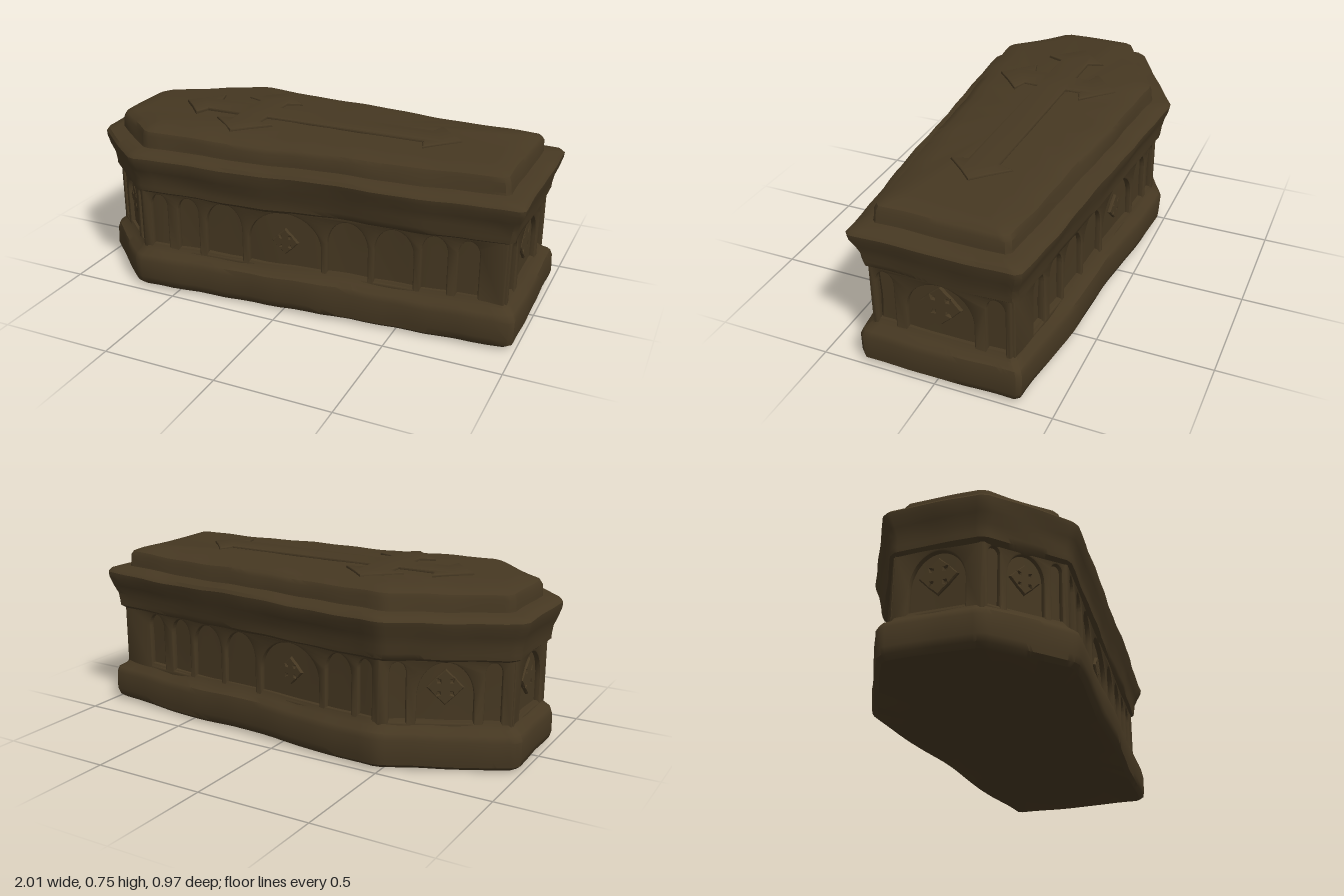
import * as THREE from 'three';
import { toCreasedNormals } from 'three/addons/utils/BufferGeometryUtils.js';

// Tapered six-sided plan [x, z], running clockwise seen from above
const PLAN = [[-1, -0.21], [-0.485, -0.49], [1, -0.37], [1, 0.345], [-0.69, 0.485], [-1, 0.21]];

// Plan moved inward by d with mitred corners
function inset(d) {
  const n = PLAN.length;
  const normal = (i) => {
    const a = PLAN[i], b = PLAN[(i + 1) % n];
    return new THREE.Vector2(b[1] - a[1], a[0] - b[0]).normalize();
  };
  return PLAN.map((p, i) => {
    const n0 = normal((i + n - 1) % n), n1 = normal(i);
    const k = d / (1 + n0.dot(n1));
    return new THREE.Vector2(p[0] - (n0.x + n1.x) * k, p[1] - (n0.y + n1.y) * k);
  });
}

// Stone weathering: a small smooth displacement
const worn = (a, b, c) => Math.sin(a * 9 + c * 2) * 0.5 + Math.sin(b * 13 + a * 5 + c * 17) * 0.3 + Math.sin(a * 27 - b * 8 + c) * 0.2;

// Loft of plan rings; profile entries are [inset, y]
function loft(profile) {
  const STEPS = 26, pos = [], idx = [];
  for (const [d, y] of profile) {
    const ring = inset(d);
    ring.forEach((a, e) => {
      const b = ring[(e + 1) % ring.length];
      const cut = 0.018 / a.distanceTo(b); // softened corners
      for (let s = 0; s < STEPS; s++) {
        const p = a.clone().lerp(b, cut + (1 - 2 * cut) * s / (STEPS - 1));
        const dy = 0.006 * worn(p.x, p.y, 3);
        pos.push(p.x + 0.005 * worn(p.y, p.x, y * 3), y + dy, p.y + 0.007 * worn(p.x, p.y, y * 3));
      }
    });
  }
  const m = STEPS * PLAN.length, rows = profile.length;
  for (let r = 0; r < rows - 1; r++) {
    for (let i = 0; i < m; i++) {
      const a = r * m + i, b = r * m + (i + 1) % m;
      idx.push(a, a + m, b + m, a, b + m, b);
    }
  }
  // end caps
  const lo = rows * m, hi = lo + 1, last = (rows - 1) * m;
  pos.push(0, profile[0][1], 0, 0, profile[rows - 1][1], 0);
  for (let i = 0; i < m; i++) {
    const j = (i + 1) % m;
    idx.push(i, j, lo, last + j, last + i, hi);
  }
  const g = new THREE.BufferGeometry();
  g.setAttribute('position', new THREE.Float32BufferAttribute(pos, 3));
  g.setIndex(idx);
  return toCreasedNormals(g, 0.7);
}

// Cross with pointed, flared ends; arms are lengths toward +x, +y, -x, -y
function crossShape(w, arms) {
  const pts = [];
  arms.forEach((len, k) => {
    const c = Math.cos(k * Math.PI / 2), s = Math.sin(k * Math.PI / 2);
    const arm = [[w, -w], [len - 2.2 * w, -w], [len - 1.9 * w, -2.1 * w], [len - 0.9 * w, -0.9 * w], [len, 0],
      [len - 0.9 * w, 0.9 * w], [len - 1.9 * w, 2.1 * w], [len - 2.2 * w, w]];
    for (const [x, y] of arm) pts.push(new THREE.Vector2(x * c - y * s, x * s + y * c));
  });
  return new THREE.Shape(pts);
}

// Wall facing with recessed round-headed arches, each [centre, half width]
function arcade(length, arches) {
  const h = length / 2, shape = new THREE.Shape();
  shape.moveTo(-h, 0.165).lineTo(h, 0.165).lineTo(h, 0.465).lineTo(-h, 0.465).closePath();
  for (const [c, w] of arches) {
    const rise = Math.min(w * 1.25, 0.15), spring = 0.45 - rise;
    const hole = new THREE.Path();
    hole.moveTo(c - w, 0.185).lineTo(c - w, spring);
    hole.absellipse(c, spring, w, rise, Math.PI, 0, true);
    hole.lineTo(c + w, 0.185);
    hole.closePath();
    shape.holes.push(hole);
  }
  return toCreasedNormals(new THREE.ExtrudeGeometry(shape, {
    depth: 0.012, bevelSize: 0.007, bevelThickness: 0.01, bevelSegments: 2, curveSegments: 16,
  }), 0.7);
}

export function createModel() {
  const model = new THREE.Group();
  model.name = 'stoneCoffin';
  const stone = new THREE.MeshStandardMaterial({ color: 0x463822 });
  stone.name = 'dark brown stone';
  const add = (geometry, name, parent = model) => {
    const mesh = new THREE.Mesh(geometry, stone);
    mesh.name = name;
    parent.add(mesh);
    return mesh;
  };

  // Plinth, recessed wall, flared cornice and lid
  add(loft([[0.035, 0.005], [0.015, 0.022], [0.009, 0.05], [0.009, 0.13], [0.018, 0.155], [0.045, 0.172], [0.06, 0.2]]), 'plinth');
  add(loft([[0.075, 0.16], [0.078, 0.3], [0.075, 0.48]]), 'wall');
  add(loft([[0.06, 0.445], [0.038, 0.463], [0.035, 0.485], [0.03, 0.52], [0.017, 0.56], [0.003, 0.6], [0, 0.622], [0.012, 0.636], [0.06, 0.645]]), 'cornice');
  add(loft([[0.075, 0.63], [0.08, 0.655], [0.083, 0.695], [0.092, 0.713], [0.125, 0.726], [0.18, 0.735]]), 'lid');

  // Large cross in low relief on the lid
  const lidCross = new THREE.ExtrudeGeometry(crossShape(0.06, [0.93, 0.27, 0.37, 0.27]), {
    depth: 0.006, bevelSize: 0.008, bevelThickness: 0.008, bevelSegments: 2,
  });
  lidCross.rotateX(-Math.PI / 2);
  add(toCreasedNormals(lidCross, 0.7), 'lidCross').position.set(-0.3, 0.732, 0);

  // Arcades in plan order; emblem is [offset, y, half size]
  const backArches = [[-0.38, 0.04], [-0.25, 0.07], [0, 0.16], [0.27, 0.09], [0.46, 0.085], [0.62, 0.06], [0.77, 0.05]];
  const frontArches = [[-0.57, 0.045], [-0.43, 0.055], [-0.26, 0.09], [0.02, 0.17], [0.3, 0.095], [0.5, 0.09], [0.67, 0.06], [0.81, 0.05]];
  const sides = [
    { name: 'headBackArcade', arches: [[-0.19, 0.04], [0, 0.12], [0.19, 0.04]], emblem: [0, 0.34, 0.07] },
    { name: 'backArcade', arches: backArches.map(([x, w]) => [0.26 - x, w]), emblem: [0.26, 0.32, 0.055] },
    { name: 'footArcade', arches: [[-0.235, 0.045], [0, 0.15], [0.235, 0.045]], emblem: [0, 0.345, 0.085] },
    { name: 'frontArcade', arches: frontArches.map(([x, w]) => [x - 0.155, w]), emblem: [-0.135, 0.31, 0.055] },
    { name: 'headFrontArcade', arches: [[-0.135, 0.03], [0, 0.085], [0.135, 0.03]], emblem: [0, 0.34, 0.06] },
    { name: 'headArcade', arches: [[0, 0.12]], emblem: [0, 0.34, 0.075] },
  ];
  const corners = inset(0.075);
  sides.forEach(({ name, arches, emblem }, i) => {
    const a = corners[i], b = corners[(i + 1) % corners.length];
    const side = new THREE.Group();
    side.name = name;
    side.position.set((a.x + b.x) / 2, 0, (a.y + b.y) / 2);
    side.rotation.y = Math.atan2(b.y - a.y, a.x - b.x);
    model.add(side);
    add(arcade(a.distanceTo(b) + 0.008, arches), name + 'Panel', side);
    const [x, y, r] = emblem;
    const cross = new THREE.ExtrudeGeometry(crossShape(r * 0.24, [r, r, r, r]), {
      depth: 0.008, bevelSize: 0.004, bevelThickness: 0.005, bevelSegments: 1,
    });
    add(cross, name + 'Emblem', side).position.set(x, y, 0);
  });
  return model;
}
